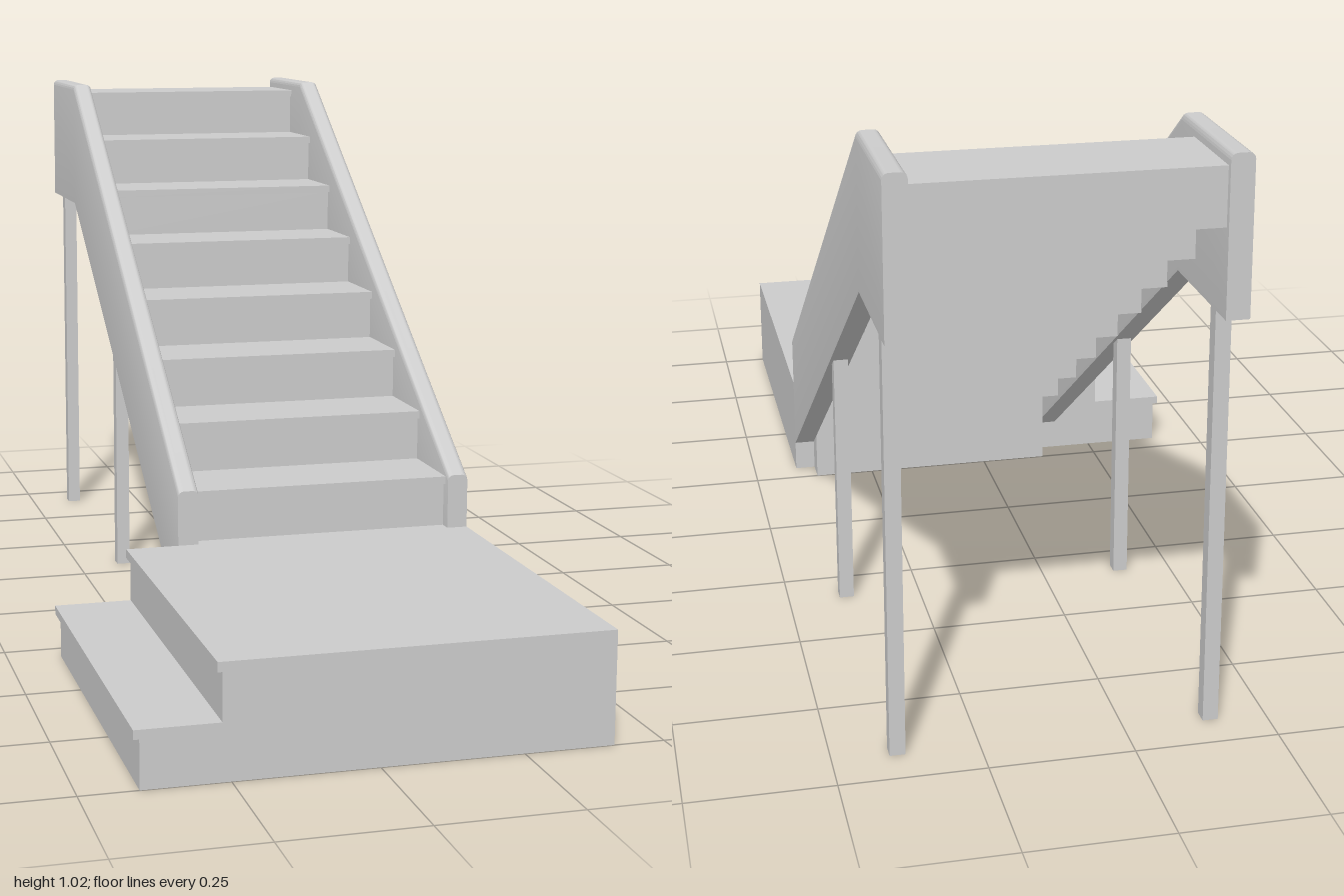
import * as THREE from 'three';
import { toCreasedNormals } from 'three/addons/utils/BufferGeometryUtils.js';

const material = new THREE.MeshStandardMaterial({ color: 0xcccccc });

const STEPS = 8, RISE = 0.1, GOING = 0.1565;
const INNER_LEFT = 0.37, INNER_RIGHT = -0.133; // clear width between the stringers

function add(parent, name, geometry, x = 0, y = 0, z = 0) {
  const mesh = new THREE.Mesh(geometry, material);
  mesh.name = name;
  mesh.position.set(x, y, z);
  parent.add(mesh);
  return mesh;
}

function extrude(points, depth) {
  const shape = new THREE.Shape(points.map(([x, y]) => new THREE.Vector2(x, y)));
  return new THREE.ExtrudeGeometry(shape, { depth, bevelEnabled: false });
}

// Sloped side board with rounded upper edges, lofted through upright sections
function stringerGeometry(halfWidth) {
  const stations = [ // z, bottom, top
    [0.3, 0.06, 0.305], [-0.737, 0.75, 1.022], [-1, 0.75, 1.022],
  ];
  const r = 0.011, arcSteps = 4;
  const sections = stations.map(([z, bottom, top]) => {
    const ring = [[-halfWidth, bottom, z], [halfWidth, bottom, z]];
    for (const [side, start] of [[1, 0], [-1, Math.PI / 2]]) {
      for (let i = 0; i <= arcSteps; i++) {
        const a = start + (i / arcSteps) * Math.PI / 2;
        ring.push([side * (halfWidth - r) + r * Math.cos(a), top - r + r * Math.sin(a), z]);
      }
    }
    return ring;
  });
  const positions = [];
  const tri = (...corners) => corners.forEach((c) => positions.push(...c));
  const n = sections[0].length;
  for (let s = 0; s < sections.length - 1; s++) {
    const front = sections[s], back = sections[s + 1];
    for (let j = 0; j < n; j++) {
      const k = (j + 1) % n;
      tri(front[j], back[j], front[k]);
      tri(front[k], back[j], back[k]);
    }
  }
  const first = sections[0], last = sections[sections.length - 1];
  for (let j = 1; j < n - 1; j++) {
    tri(first[0], first[j], first[j + 1]);
    tri(last[0], last[j + 1], last[j]);
  }
  const geometry = new THREE.BufferGeometry();
  geometry.setAttribute('position', new THREE.Float32BufferAttribute(positions, 3));
  return toCreasedNormals(geometry, Math.PI / 6);
}

export function createModel() {
  const model = new THREE.Group();
  model.name = 'staircase';

  // Landing with a lower side step, both with a small overhanging nosing
  add(model, 'landing', extrude([
    [-0.4, 0], [0.41, 0], [0.41, 0.2], [-0.273, 0.2], [-0.273, 0.183], [-0.265, 0.183],
    [-0.265, 0.1], [-0.41, 0.1], [-0.41, 0.084], [-0.4, 0.084],
  ], 0.7), 0, 0, 0.3);

  // Back of the landing, reaching under the first step
  const width = INNER_LEFT - INNER_RIGHT;
  const middle = (INNER_LEFT + INNER_RIGHT) / 2;
  add(model, 'landingBack', new THREE.BoxGeometry(width, 0.2, 0.05), middle, 0.1, 0.275);

  // Flight of solid steps, each overlapping the next one above
  const flight = new THREE.Group();
  flight.name = 'flight';
  model.add(flight);
  const depth = GOING + 0.012;
  const stepGeometry = extrude([
    [0, 0], [0, RISE - 0.015], [0.011, RISE - 0.015], [0.011, RISE], [-depth, RISE], [-depth, 0],
  ], width).rotateY(-Math.PI / 2);
  for (let i = 0; i < STEPS; i++) {
    add(flight, `step${i + 1}`, stepGeometry, INNER_LEFT, 0.2 + i * RISE, 0.275 - i * GOING);
  }

  // Side stringers, each on two square posts
  const halfWidth = 0.02;
  const stringer = stringerGeometry(halfWidth);
  for (const [side, x] of [['left', 0.39], ['right', -0.152]]) {
    add(model, `${side}Stringer`, stringer, x);
    for (const [place, z, height] of [['Middle', -0.325, 0.5], ['Back', -0.915, 0.77]]) {
      add(model, `${side}${place}Post`, new THREE.BoxGeometry(0.027, height, 0.027), x, height / 2, z);
    }
  }
  return model;
}
